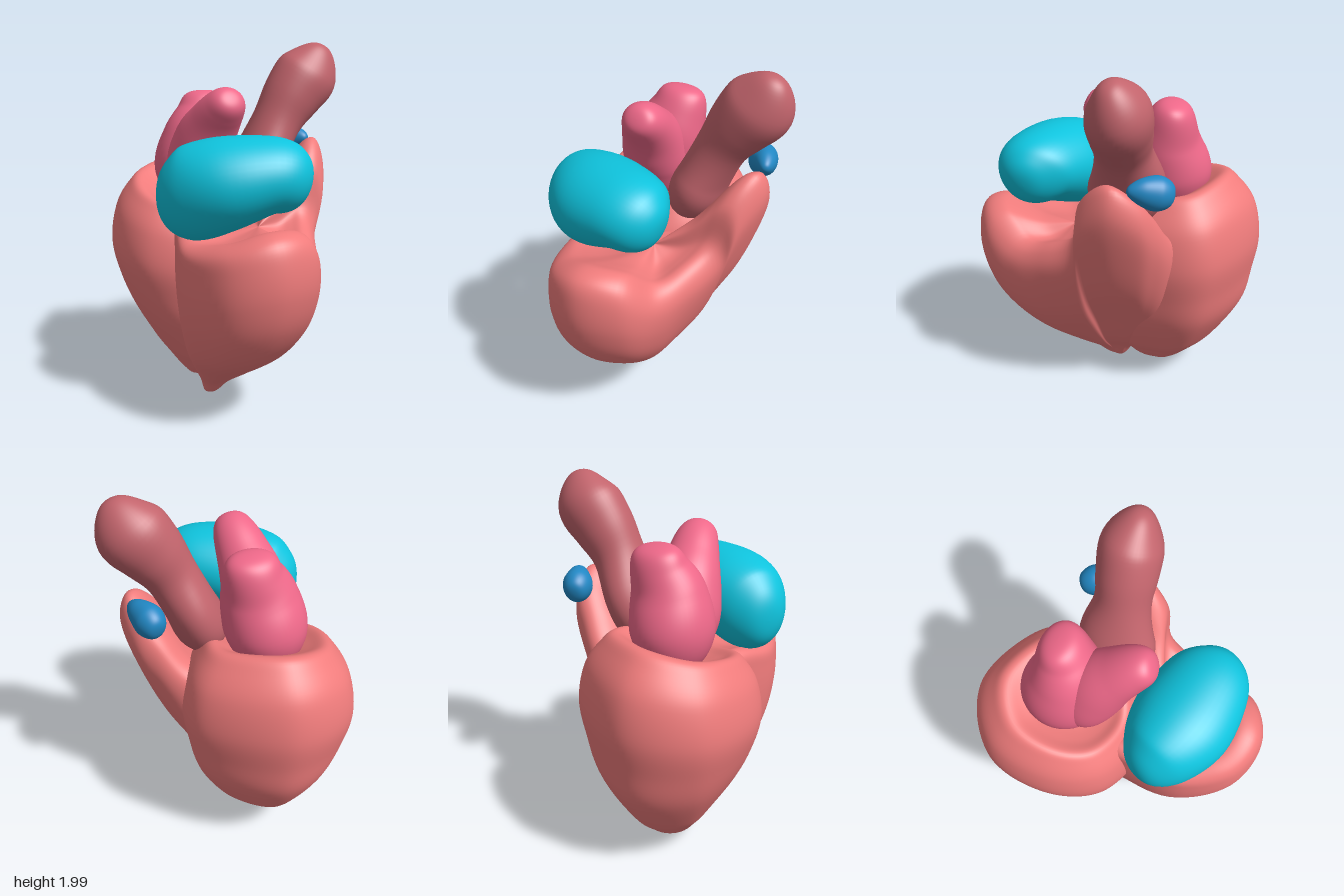
import * as THREE from 'three';

// Catmull-Rom through rows of numbers; t runs 0..1
function spline(rows, t, closed = false) {
  const n = rows.length;
  const p = t * (closed ? n : n - 1);
  const i = closed ? Math.floor(p) : Math.min(Math.floor(p), n - 2);
  const f = p - i;
  const at = (k) => rows[closed ? (k + n) % n : Math.max(0, Math.min(n - 1, k))];
  const [a, b, c, d] = [at(i - 1), at(i), at(i + 1), at(i + 2)];
  return b.map((_, k) => b[k] + 0.5 * f * (c[k] - a[k]
    + f * (2 * a[k] - 5 * b[k] + 4 * c[k] - d[k]
    + f * (3 * (b[k] - c[k]) + d[k] - a[k]))));
}

// Smooth closed-ring surface from point(u, v)
function skin(name, color, point, nu, nv) {
  const pos = [], index = [];
  for (let j = 0; j <= nv; j++) {
    for (let i = 0; i < nu; i++) {
      pos.push(...point(i / nu, j / nv));
      if (j === nv) continue;
      const a = j * nu + i, b = j * nu + (i + 1) % nu;
      index.push(a, b, b + nu, a, b + nu, a + nu);
    }
  }
  const geo = new THREE.BufferGeometry();
  geo.setAttribute('position', new THREE.Float32BufferAttribute(pos, 3));
  geo.setIndex(index);
  geo.computeVertexNormals();
  const mesh = new THREE.Mesh(geo, new THREE.MeshStandardMaterial({ color }));
  mesh.name = name;
  return mesh;
}

// Chamber: plan outline [x, z, rimHeight, mix] shrunk to an apex by profile rows
// [heightFraction, roundScale, straightScale, bowl]; bowl pulls the rim to the floor
function chamber(name, color, apex, floor, outline, profile) {
  return skin(name, color, (u, v) => {
    const [x, z, h, mix] = spline(outline, u, true);
    const [f, sA, sB, w] = spline(profile, v);
    const s = sA + (sB - sA) * mix;
    const p = [
      apex[0] + (x - apex[0]) * s,
      apex[1] + (h - apex[1]) * f,
      apex[2] + (z - apex[2]) * s,
    ];
    return p.map((c, k) => c + (floor[k] - c) * w);
  }, 112, 84);
}

// Rounded vessel: stations [x, y, z, radiusAlongRef, radiusAcross]
function vessel(name, color, ref, stations) {
  const T = new THREE.Vector3(), A = new THREE.Vector3(), B = new THREE.Vector3();
  return skin(name, color, (u, v) => {
    const t = (1 - Math.cos(Math.PI * v)) / 2;
    const [x, y, z, ra, rb] = spline(stations, t);
    const lo = spline(stations, Math.max(0, t - 0.08));
    const hi = spline(stations, Math.min(1, t + 0.08));
    T.set(hi[0] - lo[0], hi[1] - lo[1], hi[2] - lo[2]).normalize();
    A.set(...ref).addScaledVector(T, -T.dot(A)).normalize();
    B.crossVectors(T, A);
    const cap = Math.sqrt(Math.max(0, 1 - Math.abs(2 * t - 1) ** 5));
    const ca = Math.cos(u * 2 * Math.PI) * ra * cap;
    const cb = Math.sin(u * 2 * Math.PI) * rb * cap;
    return [x + A.x * ca + B.x * cb, y + A.y * ca + B.y * cb, z + A.z * ca + B.z * cb];
  }, 48, 48);
}

export function createModel() {
  const group = new THREE.Group();
  group.name = 'heart';
  const muscle = 0xf07c7c, artery = 0xc2646c, pink = 0xee6889, teal = 0x0fc4de, blue = 0x2288c4;

  // Rear chamber: plump cup with a rolled rim
  group.add(chamber('rearVentricle', muscle, [-0.2, 0.02, -0.22], [-0.17, 1.14, -0.3], [
    [-0.2, 0.17, 1.08, 0], [0.12, 0.05, 1.15, 0.1], [0.27, -0.26, 1.23, 0.3], [0.23, -0.57, 1.27, 0.2],
    [-0.18, -0.81, 1.3, 0], [-0.54, -0.66, 1.25, 0.5], [-0.65, -0.3, 1.19, 1], [-0.54, 0.02, 1.13, 0.8],
  ], [
    [0, 0, 0, 0], [0.012, 0.19, 0.1, 0], [0.06, 0.36, 0.2, 0], [0.12, 0.5, 0.32, 0],
    [0.2, 0.66, 0.47, 0], [0.38, 0.89, 0.74, 0], [0.54, 0.96, 0.91, 0], [0.7, 1, 1, 0],
    [0.86, 0.93, 0.93, 0], [0.96, 0.77, 0.78, 0], [1, 0.64, 0.65, 0], [0.97, 0.52, 0.52, 0.1],
    [0.93, 0.45, 0.45, 0.5], [0.93, 0.45, 0.45, 1],
  ]));

  // Front chamber: wedge with a dipped rim rising to the outflow lip on the left
  group.add(chamber('frontVentricle', muscle, [-0.2, 0, 0], [0.03, 1.02, 0.22], [
    [-0.1, 0.81, 1.1, 0], [0.13, 0.73, 1.07, 0.1], [0.24, 0.55, 0.94, 0.3], [0.32, 0.36, 0.97, 0.6],
    [0.4, 0.17, 1.07, 0.85], [0.47, 0.12, 1.31, 1], [0.54, -0.05, 1.46, 1], [0.5, -0.2, 1.38, 1],
    [0.41, -0.28, 1.26, 0.8], [0.24, -0.37, 1.06, 0.5], [-0.05, -0.45, 1.02, 0], [-0.3, -0.2, 1.02, 0],
    [-0.41, 0.12, 1.03, 0], [-0.45, 0.42, 0.98, 0], [-0.33, 0.7, 1.03, 0],
  ], [
    [0, 0, 0, 0], [0.015, 0.1, 0.1, 0], [0.1, 0.22, 0.22, 0], [0.2, 0.42, 0.38, 0],
    [0.36, 0.73, 0.57, 0], [0.54, 0.92, 0.78, 0], [0.72, 1, 0.92, 0], [0.88, 1, 1, 0],
    [0.98, 0.95, 0.96, 0], [1.02, 0.89, 0.92, 0.1], [1, 0.86, 0.88, 0.26],
    [0.95, 0.85, 0.88, 0.6], [0.95, 0.85, 0.88, 1],
  ]));

  // Great artery leaning up to the left
  group.add(vessel('greatArtery', artery, [0, 0, 1], [
    [0.06, 1.1, -0.03, 0.18, 0.14], [0.12, 1.23, -0.07, 0.21, 0.155], [0.18, 1.37, -0.1, 0.2, 0.14],
    [0.27, 1.55, -0.09, 0.15, 0.14], [0.36, 1.69, -0.09, 0.16, 0.17], [0.47, 1.83, -0.09, 0.165, 0.19],
    [0.54, 1.975, -0.06, 0.1, 0.12],
  ]));

  // Front atrium: broad rounded block lying across the front rim
  group.add(vessel('frontAtrium', teal, [0, 1, 0], [
    [-0.51, 1.23, 0.18, 0.2, 0.15], [-0.38, 1.24, 0.26, 0.25, 0.22], [-0.2, 1.3, 0.35, 0.24, 0.27],
    [0, 1.34, 0.42, 0.2, 0.24], [0.12, 1.32, 0.45, 0.18, 0.19], [0.21, 1.3, 0.46, 0.14, 0.12],
  ]));

  // Rear atrium: body with a rear bump and a forward horn
  const rear = new THREE.Group();
  rear.name = 'rearAtrium';
  rear.add(vessel('rearAtriumBody', pink, [1, 0, 0], [
    [-0.18, 1.07, -0.3, 0.18, 0.18], [-0.18, 1.28, -0.29, 0.22, 0.23], [-0.14, 1.47, -0.27, 0.2, 0.19],
    [-0.1, 1.61, -0.29, 0.155, 0.14], [-0.09, 1.72, -0.31, 0.15, 0.11],
  ]));
  rear.add(vessel('rearAtriumHorn', pink, [1, 0, 0], [
    [-0.18, 1.1, -0.17, 0.16, 0.15], [-0.18, 1.3, -0.16, 0.19, 0.17], [-0.16, 1.47, -0.09, 0.17, 0.17],
    [-0.13, 1.59, 0.01, 0.14, 0.13], [-0.11, 1.66, 0.09, 0.12, 0.11], [-0.1, 1.71, 0.17, 0.11, 0.1],
  ]));
  group.add(rear);

  // Small vessel stub behind the outflow lip
  group.add(vessel('vesselStub', blue, [0, 1, 0], [
    [0.49, 1.44, -0.14, 0.03, 0.03], [0.46, 1.43, -0.21, 0.07, 0.06],
    [0.42, 1.41, -0.28, 0.09, 0.08], [0.39, 1.39, -0.36, 0.07, 0.06],
  ]));
  return group;
}
